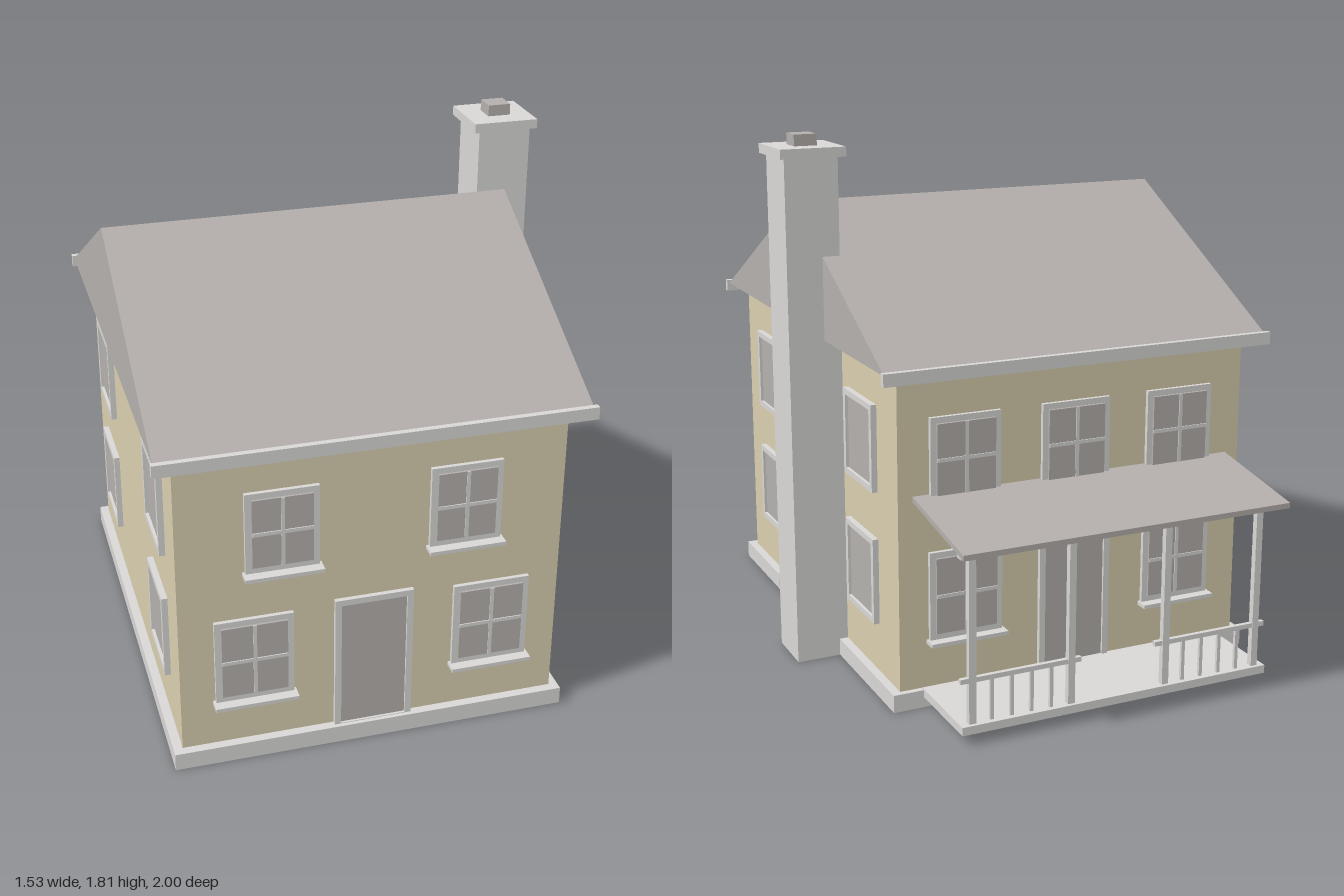
import * as THREE from 'three';

const mat = (name, color) => {
  const m = new THREE.MeshStandardMaterial({ color });
  m.name = name;
  return m;
};

export function createModel() {
  const wallMat = mat('cream wall', 0xd8ceae);
  const trimMat = mat('pale trim', 0xd8d7d6);
  const greyMat = mat('warm grey', 0xb4afac);

  const house = new THREE.Group();
  house.name = 'house';

  // Box given by its min and max on each axis
  const box = (parent, name, material, x0, x1, y0, y1, z0, z1) => {
    const mesh = new THREE.Mesh(new THREE.BoxGeometry(x1 - x0, y1 - y0, z1 - z0), material);
    mesh.position.set((x0 + x1) / 2, (y0 + y1) / 2, (z0 + z1) / 2);
    mesh.name = name;
    parent.add(mesh);
    return mesh;
  };

  // Profile of [z, y] points swept along x
  const sweepX = (name, material, points, x0, x1) => {
    const shape = new THREE.Shape(points.map(([z, y]) => new THREE.Vector2(z, y)));
    const geo = new THREE.ExtrudeGeometry(shape, { depth: x1 - x0, bevelEnabled: false });
    geo.rotateY(-Math.PI / 2).translate(x1, 0, 0);
    const mesh = new THREE.Mesh(geo, material);
    mesh.name = name;
    house.add(mesh);
  };

  // Rectangular frame facing +z, centred on the origin; b is the bottom bar width
  const frame = (parent, name, w, h, t, b, depth) => {
    const rect = (target, x0, x1, y0, y1) => {
      target.moveTo(x0, y0).lineTo(x1, y0).lineTo(x1, y1).lineTo(x0, y1).closePath();
      return target;
    };
    const shape = rect(new THREE.Shape(), -w / 2, w / 2, -h / 2, h / 2);
    shape.holes.push(rect(new THREE.Path(), -w / 2 + t, w / 2 - t, -h / 2 + b, h / 2 - t));
    const mesh = new THREE.Mesh(new THREE.ExtrudeGeometry(shape, { depth, bevelEnabled: false }), trimMat);
    mesh.name = name;
    parent.add(mesh);
  };

  const place = (name, x, y, z, turn) => {
    const g = new THREE.Group();
    g.name = name;
    g.position.set(x, y, z);
    g.rotation.y = turn;
    house.add(g);
    return g;
  };

  // Four-pane window with a projecting sill
  const sashWindow = (name, x, y, z, turn, w, h) => {
    const g = place(name, x, y, z, turn);
    const gw = w / 2 - 0.021, gh = h / 2 - 0.021;
    frame(g, 'windowFrame', w, h, 0.02, 0.02, 0.014);
    box(g, 'glass', greyMat, -gw, gw, -gh, gh, 0, 0.02);
    box(g, 'verticalBar', trimMat, -0.006, 0.006, -gh, gh, 0.02, 0.023);
    box(g, 'horizontalBar', trimMat, -gw, gw, -0.006, 0.006, 0.02, 0.0235);
    box(g, 'sill', trimMat, -w / 2 - 0.008, w / 2 + 0.008, -h / 2 - 0.013, -h / 2, 0, 0.048);
  };

  // Plain window without bars
  const plainWindow = (name, x, y, z, turn) => {
    const g = place(name, x, y, z, turn);
    frame(g, 'windowFrame', 0.256, 0.294, 0.02, 0.02, 0.02);
    box(g, 'glass', greyMat, -0.108, 0.108, -0.127, 0.127, 0, 0.01);
  };

  const door = (name, x, z, turn) => {
    const g = place(name, x, 0.3, z, turn);
    frame(g, 'doorFrame', 0.26, 0.48, 0.021, 0.002, 0.016);
    box(g, 'doorPanel', greyMat, -0.11, 0.11, -0.239, 0.219, 0, 0.008);
  };

  // Body
  box(house, 'foundation', trimMat, -0.73, 0.59, 0, 0.06, -0.63, 0.96);
  box(house, 'walls', wallMat, -0.7, 0.56, 0.06, 1.13, -0.61, 0.93);

  // Gable roof with gutters
  sweepX('roof', greyMat, [[0.985, 1.13], [0.16, 1.56], [-0.665, 1.13]], -0.76, 0.62);
  box(house, 'frontGutter', trimMat, -0.768, 0.63, 1.1, 1.142, 0.98, 1.0);
  box(house, 'backGutter', trimMat, -0.768, 0.63, 1.1, 1.142, -0.68, -0.66);

  // Chimney
  box(house, 'chimney', trimMat, 0.56, 0.743, 0, 1.74, -0.125, 0.06);
  box(house, 'chimneyCap', trimMat, 0.538, 0.762, 1.738, 1.77, -0.147, 0.077);
  box(house, 'chimneyFlue', greyMat, 0.612, 0.69, 1.77, 1.808, -0.073, 0.003);
  box(house, 'chimneyBand', greyMat, 0.56, 0.743, 0.08, 0.24, 0.06, 0.063);

  // Front openings
  for (const x of [-0.366, 0.229]) sashWindow('frontUpperWindow', x, 0.83, 0.93, 0, 0.236, 0.28);
  for (const x of [-0.46, 0.328]) sashWindow('frontLowerWindow', x, 0.374, 0.93, 0, 0.256, 0.298);
  door('frontDoor', -0.067, 0.93, 0);

  // Back openings
  for (const x of [-0.455, -0.065, 0.33]) sashWindow('backUpperWindow', x, 0.83, -0.61, Math.PI, 0.246, 0.28);
  for (const x of [-0.455, 0.33]) sashWindow('backLowerWindow', x, 0.374, -0.61, Math.PI, 0.256, 0.298);
  door('backDoor', -0.065, -0.61, Math.PI);

  // Side windows
  for (const z of [0.638, -0.308]) {
    for (const y of [0.833, 0.378]) {
      plainWindow('leftSideWindow', 0.56, y, z, Math.PI / 2);
      plainWindow('rightSideWindow', -0.7, y, z, -Math.PI / 2);
    }
  }

  // Back porch
  box(house, 'porchDeck', trimMat, -0.625, 0.485, 0.035, 0.063, -0.935, -0.615);
  sweepX('porchRoof', greyMat, [[-0.61, 0.717], [-1, 0.652], [-1, 0.634], [-0.61, 0.699]], -0.65, 0.51);
  box(house, 'porchBeam', trimMat, -0.625, 0.485, 0.608, 0.645, -0.928, -0.897);
  for (const x of [-0.59, -0.245, 0.1, 0.445]) {
    box(house, 'porchPost', trimMat, x - 0.012, x + 0.012, 0.06, 0.61, -0.923, -0.902);
  }
  for (const x of [-0.59, 0.1]) {
    box(house, 'porchRail', trimMat, x - 0.035, x + 0.385, 0.2, 0.216, -0.92, -0.905);
    for (let i = 1; i <= 4; i++) {
      const bx = x + i * 0.069;
      box(house, 'baluster', trimMat, bx - 0.006, bx + 0.006, 0.06, 0.205, -0.918, -0.907);
    }
  }

  return house;
}
